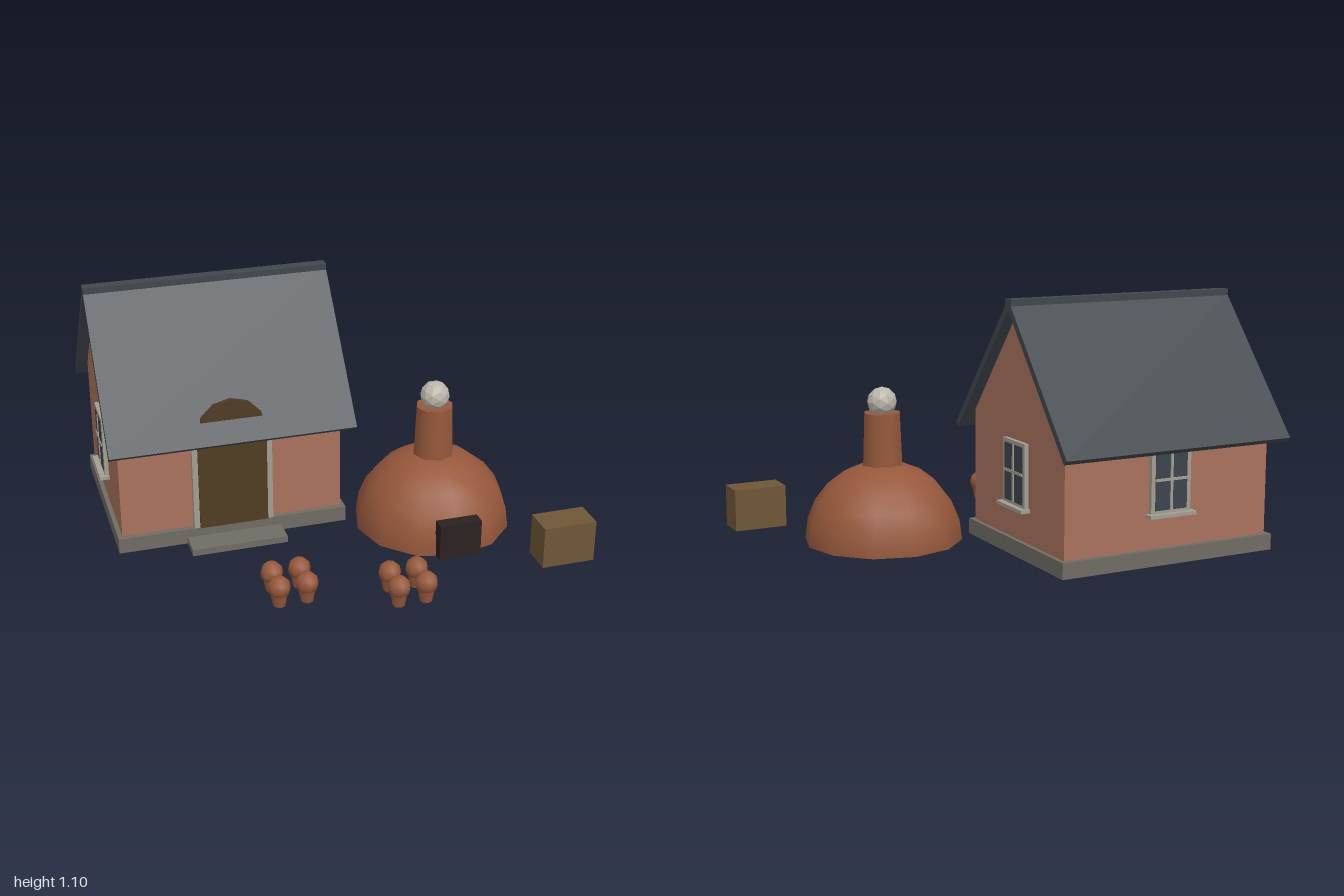
import * as THREE from 'three';

const paint = (name, color, extra = {}) => {
  const m = new THREE.MeshStandardMaterial({ color, ...extra });
  m.name = name;
  return m;
};

export function createModel() {
  const brick = paint('brick', 0xa8725b);
  const clay = paint('clay', 0x96583b, { side: THREE.DoubleSide });
  const slate = paint('slate', 0x41474d);
  const stone = paint('stone', 0x6f6c64);
  const trim = paint('trim', 0xa29e92);
  const smoke = paint('smoke', 0xbab6aa, { flatShading: true });
  const glass = paint('glass', 0x3b444d);
  const doorWood = paint('doorWood', 0x4f3b22);
  const crateWood = paint('crateWood', 0x6f5637);
  const iron = paint('iron', 0x2b2121);

  const root = new THREE.Group();
  root.name = 'cottageWithKiln';

  const add = (parent, name, geometry, material, x = 0, y = 0, z = 0) => {
    const mesh = new THREE.Mesh(geometry, material);
    mesh.name = name;
    mesh.position.set(x, y, z);
    parent.add(mesh);
    return mesh;
  };
  // Box given by its limits on each axis
  const box = (parent, name, mat, x0, x1, y0, y1, z0, z1) =>
    add(parent, name, new THREE.BoxGeometry(x1 - x0, y1 - y0, z1 - z0), mat,
      (x0 + x1) / 2, (y0 + y1) / 2, (z0 + z1) / 2);
  // Cross-section in (z, y), extruded along x and centred
  const prism = (points, length) => {
    const shape = new THREE.Shape(points.map(([z, y]) => new THREE.Vector2(-z, y)));
    return new THREE.ExtrudeGeometry(shape, { depth: length, bevelEnabled: false })
      .translate(0, 0, -length / 2).rotateY(Math.PI / 2);
  };

  // House, built around its own centre
  const house = new THREE.Group();
  house.name = 'house';
  house.position.set(-0.452, 0, -0.36);
  root.add(house);

  box(house, 'foundation', stone, -0.52, 0.52, 0, 0.07, -0.425, 0.425);
  box(house, 'doorStep', stone, -0.215, 0.215, 0, 0.03, 0.4, 0.54);
  add(house, 'walls', prism(
    [[-0.4, 0.07], [0.4, 0.07], [0.4, 0.57], [0, 1.05], [-0.4, 0.57]], 1), brick);

  // Roof slopes and ridge
  for (const s of [1, -1]) {
    const slab = [[0, 1.055], [0.475, 0.485], [0.498, 0.504], [0.023, 1.074]];
    add(house, s > 0 ? 'frontRoof' : 'backRoof',
      prism(slab.map(([z, y]) => [z * s, y]), 1.096), slate);
  }
  box(house, 'roofRidge', slate, -0.548, 0.548, 1.05, 1.1, -0.025, 0.025);

  // Arched door with side posts
  box(house, 'door', doorWood, -0.155, 0.155, 0.07, 0.525, 0.395, 0.43);
  const arch = new THREE.CylinderGeometry(0.155, 0.155, 0.02, 12).rotateX(Math.PI / 2);
  add(house, 'doorArch', arch, doorWood, 0, 0.525, 0.42);
  for (const s of [1, -1]) {
    const x = s * 0.167;
    box(house, 'doorPost', trim, x - 0.013, x + 0.013, 0.07, 0.53, 0.395, 0.424);
  }

  // Windows on the two gables and the back, each modelled facing +z
  const addWindow = (name, x, z, angle) => {
    const w = new THREE.Group();
    w.name = name;
    w.position.set(x, 0.36, z);
    w.rotation.y = angle;
    house.add(w);
    box(w, 'windowFrame', trim, -0.097, 0.097, -0.14, 0.14, -0.005, 0.019);
    box(w, 'windowGlass', glass, -0.078, 0.078, -0.125, 0.123, 0.015, 0.021);
    box(w, 'verticalBar', trim, -0.006, 0.006, -0.125, 0.123, 0.015, 0.025);
    box(w, 'horizontalBar', trim, -0.078, 0.078, -0.001, 0.011, 0.015, 0.025);
    box(w, 'windowSill', trim, -0.113, 0.113, -0.153, -0.138, -0.005, 0.044);
  };
  addWindow('leftWindow', 0.5, 0, Math.PI / 2);
  addWindow('rightWindow', -0.5, 0, -Math.PI / 2);
  addWindow('backWindow', 0, -0.4, Math.PI);

  // Domed kiln, open underneath
  const kiln = new THREE.Group();
  kiln.name = 'kiln';
  kiln.position.set(0.45, 0, 0.155);
  root.add(kiln);
  add(kiln, 'kilnDome',
    new THREE.SphereGeometry(0.352, 12, 6, 0, Math.PI * 2, 0, Math.PI / 2), clay);
  add(kiln, 'kilnChimney', new THREE.CylinderGeometry(0.084, 0.094, 0.25, 8), clay, 0, 0.447, 0);
  add(kiln, 'smokePuff', new THREE.IcosahedronGeometry(0.066, 1), smoke, 0, 0.62, 0);
  box(kiln, 'kilnDoor', iron, -0.095, 0.095, 0, 0.168, 0.31, 0.37);

  // Two clusters of rounded clay pots
  const potBase = new THREE.CylinderGeometry(0.042, 0.027, 0.08, 8);
  const potTop = new THREE.SphereGeometry(0.05, 8, 6);
  for (const [cx, cz] of [[-0.345, 0.6], [0.13, 0.74]]) {
    for (const dx of [-0.06, 0.06]) for (const dz of [-0.06, 0.06]) {
      const pot = new THREE.Group();
      pot.name = 'pot';
      pot.position.set(cx + dx, 0, cz + dz);
      root.add(pot);
      add(pot, 'potBase', potBase, clay, 0, 0.04, 0);
      add(pot, 'potTop', potTop, clay, 0, 0.085, 0);
    }
  }

  box(root, 'crate', crateWood, 0.76, 1, 0, 0.19, 0.57, 0.71);
  return root;
}
